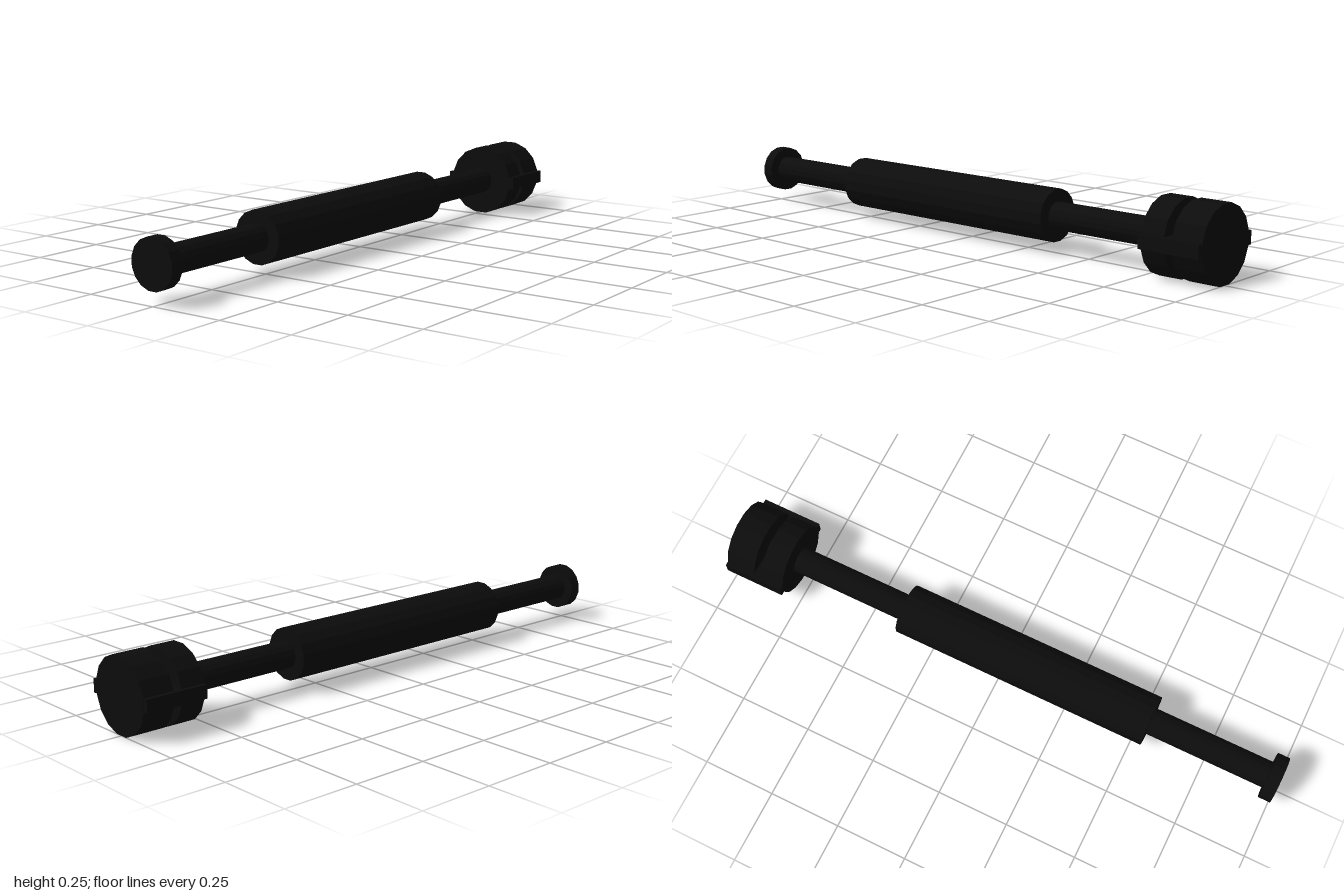
import * as THREE from 'three';

const AXIS_Y = 0.1225;
const SIDES = 16;

export function createModel() {
  const group = new THREE.Group();
  const black = new THREE.MeshStandardMaterial({ color: 0x0c0c0c, flatShading: true });
  black.name = 'black';

  // Sixteen-sided rod section lying along z, with a flat on top
  function rod(name, radius, zFront, zBack) {
    const geo = new THREE.CylinderGeometry(radius, radius, zFront - zBack, SIDES);
    geo.rotateY(Math.PI / SIDES);
    geo.rotateX(Math.PI / 2);
    const mesh = new THREE.Mesh(geo, black);
    mesh.name = name;
    mesh.position.set(0, AXIS_Y, (zFront + zBack) / 2);
    group.add(mesh);
  }

  rod('shaft', 0.046, 0.98, -0.95);
  rod('gripSleeve', 0.087, 0.54, -0.37);
  rod('endCap', 0.08, 1, 0.958);

  // Head: two discs with a gap between them
  rod('frontHeadDisc', 0.125, -0.785, -0.867);
  rod('rearHeadDisc', 0.125, -0.895, -1);

  // Flat bar through the head, standing proud as a rib on each side
  const bar = new THREE.Mesh(new THREE.BoxGeometry(0.278, 0.044, 0.213), black);
  bar.name = 'headCrossBar';
  bar.position.set(0, AXIS_Y, -0.8925);
  group.add(bar);

  return group;
}
